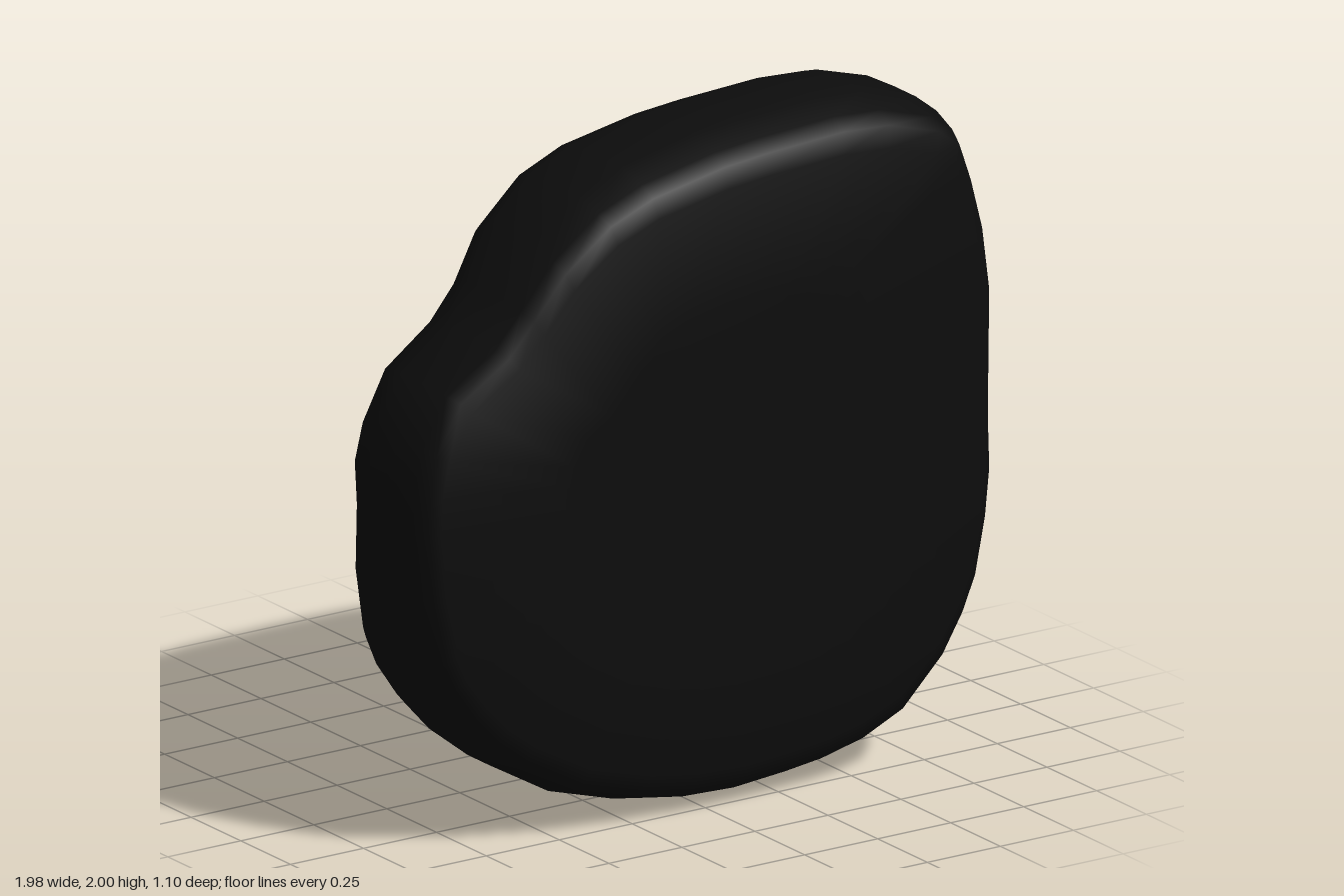
import * as THREE from 'three';
import { toCreasedNormals } from 'three/addons/utils/BufferGeometryUtils.js';

// Skin closed loops of equal length; the first and last loops are capped by a centre point
function loft(loops, crease) {
  const n = loops[0].length, pos = [], idx = [];
  loops.forEach(l => l.forEach(p => pos.push(...p)));
  for (let r = 0; r < loops.length - 1; r++) {
    for (let i = 0; i < n; i++) {
      const a = r * n + i, b = r * n + (i + 1) % n;
      idx.push(a, a + n, b, b, a + n, b + n);
    }
  }
  [0, loops.length - 1].forEach((r, end) => {
    const c = pos.length / 3;
    const mid = [0, 1, 2].map(k => loops[r].reduce((s, p) => s + p[k], 0) / n);
    pos.push(...mid);
    for (let i = 0; i < n; i++) {
      const a = r * n + i, b = r * n + (i + 1) % n;
      if (end) idx.push(a, c, b); else idx.push(a, b, c);
    }
  });
  const g = new THREE.BufferGeometry();
  g.setAttribute('position', new THREE.Float32BufferAttribute(pos, 3));
  g.setIndex(idx);
  return toCreasedNormals(g, crease);
}

// Straight-line lookup in a list of [key, value] pairs
function lookup(table, t) {
  if (t <= table[0][0]) return table[0][1];
  for (let i = 1; i < table.length; i++) {
    const [a, va] = table[i - 1], [b, vb] = table[i];
    if (t <= b) return va + (vb - va) * (t - a) / (b - a);
  }
  return table[table.length - 1][1];
}

// Rounded, lopsided outline, counter-clockwise seen from the front
const outline = [
  [0.98, 1], [0.985, 1.4], [0.96, 1.6], [0.92, 1.76], [0.88, 1.88], [0.81, 1.935],
  [0.63, 1.99], [0.47, 2], [0.2, 1.985], [0.05, 1.97], [-0.2, 1.92], [-0.35, 1.86],
  [-0.51, 1.74], [-0.62, 1.61], [-0.71, 1.51], [-0.88, 1.4], [-0.965, 1.25],
  [-0.99, 1.13], [-0.995, 1], [-0.975, 0.78], [-0.935, 0.58], [-0.9, 0.49],
  [-0.83, 0.385], [-0.75, 0.295], [-0.65, 0.215], [-0.45, 0.1], [-0.23, 0.035],
  [-0.06, 0.007], [0.12, 0], [0.3, 0.015], [0.42, 0.03], [0.54, 0.06], [0.68, 0.125],
  [0.82, 0.27], [0.89, 0.39], [0.935, 0.5], [0.97, 0.68], [0.985, 0.83]
];

// Depth of the back face by height: swollen top, grooved middle, domed lower half
const backDepth = [
  [0, 0.16], [0.1, 0.11], [0.32, 0.06], [0.6, 0.04], [0.9, 0.065], [1.13, 0.12], [1.28, 0.125],
  [1.46, 0.11], [1.58, 0.075], [1.7, 0.035], [1.82, 0.015], [1.93, 0.025], [2, 0.04]
];
const backZ = (x, y) => lookup(backDepth, y)
  + lookup([[-1, 0.07], [-0.6, 0.03], [-0.2, 0], [0.8, 0], [1, 0.05]], x) * (y < 1.1 || y > 1.5 ? 1 : 0.3);

// One loop of the housing: inset scale s, depth rule z
function housingLoop(s, z) {
  const sx = s > 0.85 ? 1 - (1 - s) * 0.5 : s;
  return outline.map(([px, py]) => {
    const x = px * sx, y = 1 + (py - 1) * s;
    return [x, y, z(x, y)];
  });
}

function housingGeometry() {
  const front = [[0.5, 0.55], [0.88, 0.548], [0.94, 0.525], [0.97, 0.47], [1, 0.37], [1, 0.26]]
    .map(([s, z]) => housingLoop(s, () => z));
  const back = [[0.995, 0.1], [0.975, 0.045], [0.94, 0.01], [0.88, 0], [0.78, 0], [0.68, 0],
    [0.58, 0], [0.46, 0], [0.32, 0], [0.16, 0]]
    .map(([s, rise]) => housingLoop(s, (x, y) => backZ(x, y) + rise));
  return loft([...front, ...back], 0.9);
}

// Tapered stalk: [z, left, right, bottom, top, corner cut]
const stalkSections = [
  [0.2, -0.22, 0.28, 0.28, 1.15, 0.1],
  [0.06, -0.205, 0.255, 0.33, 1.075, 0.1],
  [-0.02, -0.195, 0.235, 0.36, 1.05, 0.1],
  [-0.22, -0.175, 0.185, 0.375, 0.985, 0.09],
  [-0.37, -0.16, 0.17, 0.39, 0.935, 0.08],
  [-0.44, -0.153, 0.163, 0.415, 0.91, 0.08],
  [-0.5, -0.147, 0.155, 0.437, 0.86, 0.07],
  [-0.55, -0.14, 0.14, 0.46, 0.81, 0.06]
];
function stalkGeometry() {
  return loft(stalkSections.map(([z, l, r, b, t, c]) => [
    [r, b + c, z], [r, t - c, z], [r - c, t, z], [l + c, t, z],
    [l, t - c, z], [l, b + c, z], [l + c, b, z], [r - c, b, z]
  ]), 0.5);
}

export function createModel() {
  const black = new THREE.MeshStandardMaterial({ color: 0x0d0d0d });
  black.name = 'black plastic';

  const model = new THREE.Group();
  model.name = 'wingMirror';
  const add = (name, geometry) => {
    const mesh = new THREE.Mesh(geometry, black);
    mesh.name = name;
    model.add(mesh);
  };
  add('mirrorHousing', housingGeometry());
  add('mountingStalk', stalkGeometry());
  return model;
}
